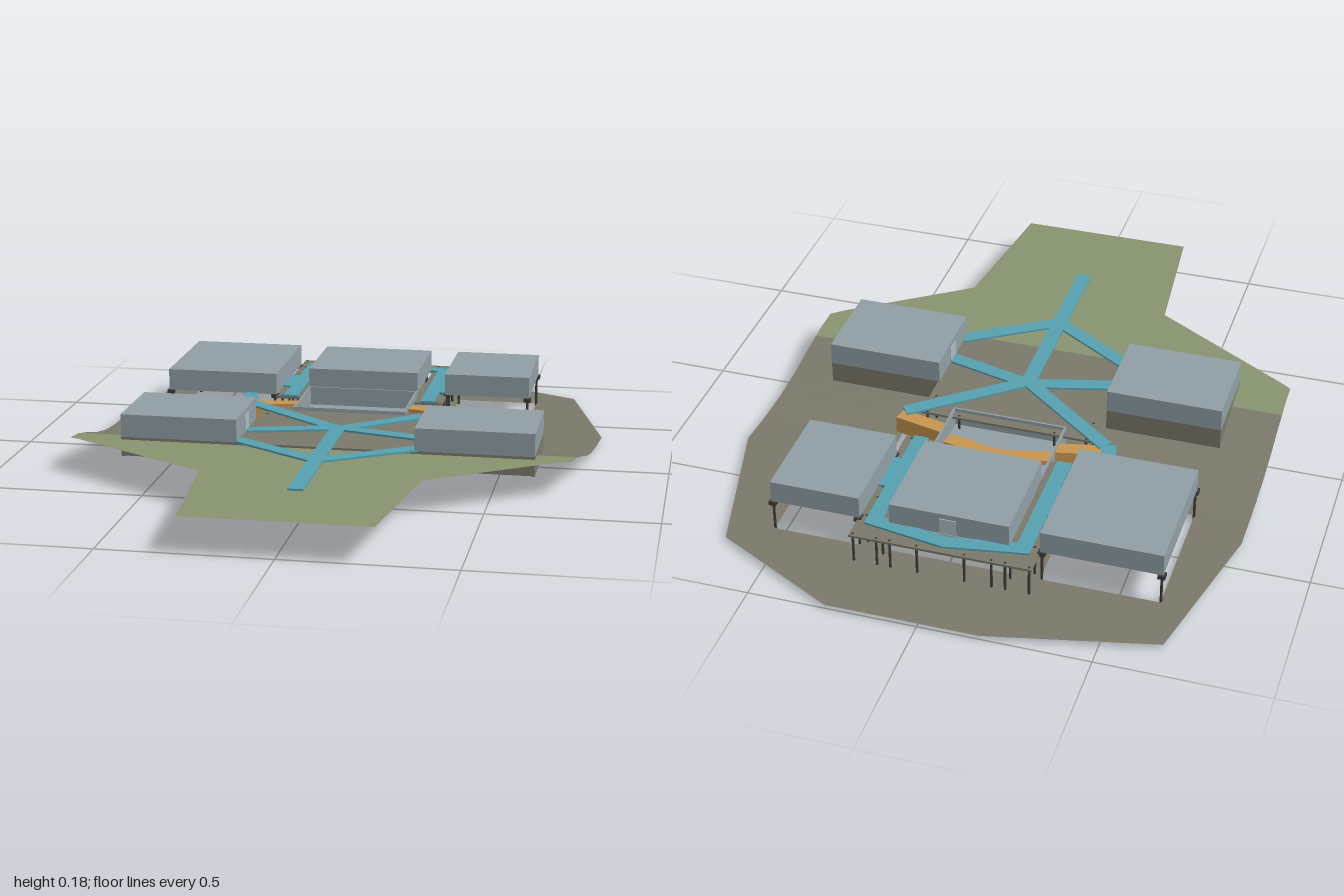
import * as THREE from 'three';

export function createModel() {
  const root = new THREE.Group();
  const mat = (name, color, side = THREE.FrontSide) => {
    const m = new THREE.MeshStandardMaterial({ color, side });
    m.name = name;
    return m;
  };
  const grass = mat('grass', 0x87936f, THREE.DoubleSide);
  const earth = mat('earth', 0x7b796a, THREE.DoubleSide);
  const grey = mat('blueGrey', 0x909fa5);
  const teal = mat('tealPath', 0x55a0b0);
  const orange = mat('orange', 0xc8954e);
  const dark = mat('darkPost', 0x3c3b36);
  const pale = mat('paleDoor', 0xa9bcc2);

  const add = (name, geo, material, parent = root) => {
    const m = new THREE.Mesh(geo, material);
    m.name = name;
    parent.add(m);
    return m;
  };
  // Box given by its limits on each axis
  const block = (name, x0, x1, y0, y1, z0, z1, material, parent) => {
    const m = add(name, new THREE.BoxGeometry(x1 - x0, y1 - y0, z1 - z0), material, parent);
    m.position.set((x0 + x1) / 2, (y0 + y1) / 2, (z0 + z1) / 2);
    return m;
  };
  // Mitred horizontal band along [x, z] points
  const band = (name, pts, width, y0, y1, material) => {
    const p = pts.map(([x, z]) => new THREE.Vector2(x, -z));
    const normal = (a, b) => new THREE.Vector2(a.y - b.y, b.x - a.x).normalize();
    const left = [], right = [];
    p.forEach((q, i) => {
      const n0 = normal(p[Math.max(i - 1, 0)], p[Math.max(i, 1)]);
      const n1 = i < p.length - 1 ? normal(q, p[i + 1]) : n0;
      const n = n0.clone().add(n1).normalize();
      n.multiplyScalar(width / 2 / n.dot(n1));
      left.push(q.clone().add(n));
      right.unshift(q.clone().sub(n));
    });
    const geo = new THREE.ExtrudeGeometry(new THREE.Shape([...left, ...right]), { depth: y1 - y0, bevelEnabled: false });
    geo.rotateX(-Math.PI / 2).translate(0, y0, 0);
    return add(name, geo, material);
  };

  // Terrain: strips across x, sloping down towards the back, open under the buildings
  const leftEdge = [[-1, -0.18], [-0.89, -0.67], [-0.4, -0.78], [0.28, -0.78], [0.57, -0.31], [1, -0.27]];
  const rightEdge = [[-1, 0.27], [-0.8, 0.65], [-0.33, 0.775], [0.27, 0.73], [0.55, 0.33], [1, 0.27]];
  const slope = [[-1, 0.012], [-0.3, 0.012], [-0.2, 0.015], [-0.1, 0.024], [0, 0.043], [0.1, 0.07], [0.2, 0.093], [0.3, 0.104], [1, 0.106]];
  const at = (table, z) => {
    let i = 1;
    while (i < table.length - 1 && z > table[i][0]) i++;
    const [a, b] = [table[i - 1], table[i]];
    return a[1] + (b[1] - a[1]) * (z - a[0]) / (b[0] - a[0]);
  };
  const holes = [ // x0, x1, z0, z1
    [-0.62, -0.27, 0, 0.27], [0.27, 0.62, 0, 0.27], [-0.62, -0.27, -0.72, -0.31],
    [0.27, 0.53, -0.72, -0.4], [-0.33, 0.33, -0.3, -0.17], [-0.18, 0.18, -0.72, -0.3],
  ];
  const greenLine = 0.16;
  const cuts = [greenLine];
  for (const t of [leftEdge, rightEdge, slope]) t.forEach(([z]) => cuts.push(z));
  holes.forEach((h) => cuts.push(h[2], h[3]));
  for (let z = -0.3; z < 0.32; z += 0.05) cuts.push(+z.toFixed(2));
  const zs = [...new Set(cuts)].sort((a, b) => a - b);
  const ground = { grass: [], earth: [] };
  for (let i = 0; i < zs.length - 1; i++) {
    const [z0, z1] = [zs[i], zs[i + 1]];
    const mid = (z0 + z1) / 2;
    const inside = holes.filter((h) => mid > h[2] && mid < h[3]).sort((a, b) => a[0] - b[0]);
    let start = [at(leftEdge, z0), at(leftEdge, z1)];
    const strips = [];
    for (const h of inside) {
      if (h[0] > start[0]) strips.push([...start, h[0], h[0]]);
      start = [h[1], h[1]];
    }
    strips.push([...start, at(rightEdge, z0), at(rightEdge, z1)]);
    const [y0, y1] = [at(slope, z0), at(slope, z1)];
    for (const [a0, a1, b0, b1] of strips) {
      ground[mid > greenLine ? 'grass' : 'earth'].push(
        a0, y0, z0, a1, y1, z1, b1, y1, z1, a0, y0, z0, b1, y1, z1, b0, y0, z0);
    }
  }
  for (const [key, material] of [['grass', grass], ['earth', earth]]) {
    const g = new THREE.BufferGeometry();
    g.setAttribute('position', new THREE.Float32BufferAttribute(ground[key], 3));
    g.computeVertexNormals();
    add(key + 'Terrain', g, material);
  }

  // Front plaza and rear deck, the deck running round the central building
  block('plaza', -0.27, 0.27, 0.1, 0.107, -0.17, 0.27, earth);
  block('rearDeckBack', -0.27, 0.27, 0.1, 0.107, -0.8, -0.72, earth);
  for (const s of [-1, 1]) {
    block('rearDeckSide', Math.min(s * 0.18, s * 0.27), Math.max(s * 0.18, s * 0.27), 0.1, 0.107, -0.72, -0.3, earth);
  }

  // Buildings
  block('backLeftBuilding', -0.625, -0.27, 0.11, 0.178, -0.72, -0.31, grey);
  block('backRightBuilding', 0.265, 0.535, 0.11, 0.178, -0.72, -0.4, grey);
  block('centreBuilding', -0.18, 0.175, 0.11, 0.178, -0.72, -0.4, grey);
  block('centreDoor', -0.025, 0.025, 0.112, 0.162, -0.723, -0.72, pale);
  for (const s of [-1, 1]) {
    const [x0, x1] = s < 0 ? [-0.625, -0.27] : [0.265, 0.62];
    block('frontBuilding', x0, x1, 0.108, 0.178, -0.005, 0.268, grey);
    const xi = s < 0 ? x1 : x0;
    block('frontDoor', xi - 0.002, xi + 0.002, 0.112, 0.162, 0.105, 0.155, pale);
    // Foundation skirt, open below
    block('foundationFront', x0, x1, 0.05, 0.108, 0.258, 0.268, earth);
    block('foundationBack', x0, x1, 0.035, 0.108, -0.005, 0.005, earth);
    block('foundationInner', x0, x0 + 0.01, 0.045, 0.108, 0.005, 0.258, earth);
    block('foundationOuter', x1 - 0.01, x1, 0.045, 0.108, 0.005, 0.258, earth);
  }

  // Sunken court in front of the central building
  const court = new THREE.Group();
  court.name = 'sunkenCourt';
  root.add(court);
  block('courtFloor', -0.18, 0.175, 0.053, 0.06, -0.4, -0.135, grey, court);
  block('courtFrontWall', -0.18, 0.175, 0.06, 0.118, -0.141, -0.135, grey, court);
  block('courtBackWall', -0.18, 0.175, 0.06, 0.118, -0.4, -0.394, grey, court);
  block('courtSideWall', -0.18, -0.174, 0.06, 0.118, -0.394, -0.141, grey, court);
  block('courtSideWall', 0.169, 0.175, 0.06, 0.118, -0.394, -0.141, grey, court);

  // Orange bent walkway through the court, with a raised length at each end
  band('walkwayMiddle', [[-0.17, -0.235], [0, -0.27], [0.165, -0.235]], 0.046, 0.06, 0.075, orange);
  for (const s of [-1, 1]) {
    band('walkwayEnd', [[s * 0.175, -0.234], [s * 0.325, -0.2]], 0.046, 0.055, 0.108, orange);
  }

  // Teal paths
  const path = (pts) => band('path', pts, 0.045, 0.107, 0.113, teal);
  path([[0, 0.72], [0, 0.06]]);
  for (const s of [-1, 1]) {
    path([[0, 0.42], [s * 0.27, 0.245]]);
    path([[0, 0.06], [s * 0.268, 0.13]]);
    path([[0, 0.07], [s * 0.315, -0.185]]);
    path([[s * 0.255, -0.42], [s * 0.255, -0.56]]);
  }
  path([[-0.222, -0.3], [-0.222, -0.72], [0, -0.757], [0.222, -0.72], [0.222, -0.3]]);
  path([[-0.325, -0.18], [-0.355, -0.31]]);

  // Posts under the raised parts
  const postGeo = new THREE.CylinderGeometry(0.004, 0.004, 0.108, 8);
  const posts = [
    [-0.62, -0.715], [-0.62, -0.315], [-0.275, -0.715], [-0.275, -0.315],
    [0.53, -0.715], [0.53, -0.405], [0.27, -0.715], [0.27, -0.405],
  ];
  for (const s of [-1, 1]) {
    for (const z of [-0.08, -0.165, -0.31, -0.42, -0.48, -0.56, -0.61, -0.7]) posts.push([s * 0.25, z]);
    for (const x of [0.07, 0.15, 0.19, 0.26]) posts.push([s * x, -0.79]);
    posts.push([s * 0.15, -0.16], [s * 0.19, -0.74]);
  }
  for (const [x, z] of posts) add('post', postGeo, dark).position.set(x, 0.054, z);
  // Small brackets at the outer corners of the raised buildings
  for (const [x, z] of posts.slice(0, 8)) {
    block('postHead', x - 0.011, x + 0.011, 0.098, 0.11, z - 0.011, z + 0.011, dark);
  }
  return root;
}
